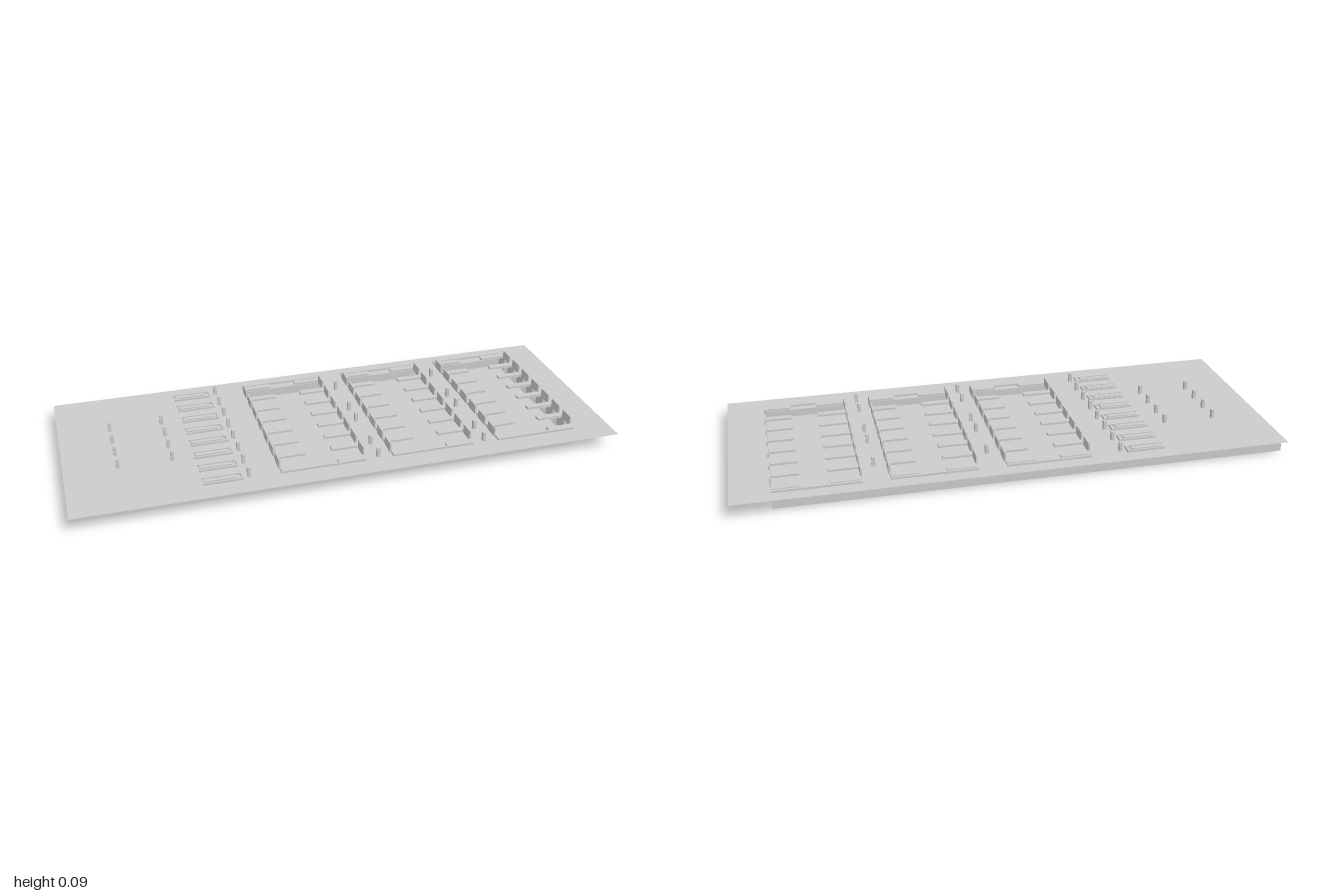
import * as THREE from 'three';

const PLATE_Y = 0.06, TOP_Y = 0.095, LIP = 0.008;
const lane = i => -0.328 + 0.09 * i;      // eight rib lanes
const gap = j => lane(j) + 0.045;         // seven openings between them
const bays = [[-0.265, 0.045], [0.147, 0.455], [0.553, 0.86]];

export function createModel() {
  const root = new THREE.Group();
  const mat = new THREE.MeshStandardMaterial({ color: 0xcccccc, side: THREE.DoubleSide, flatShading: true });

  const add = (name, geo, parent = root) => {
    const m = new THREE.Mesh(geo, mat);
    m.name = name;
    parent.add(m);
    return m;
  };
  const group = name => {
    const g = new THREE.Group();
    g.name = name;
    root.add(g);
    return g;
  };
  // box from its limits
  const box = (name, x0, x1, y0, y1, z0, z1, parent) =>
    add(name, new THREE.BoxGeometry(x1 - x0, y1 - y0, z1 - z0), parent)
      .position.set((x0 + x1) / 2, (y0 + y1) / 2, (z0 + z1) / 2);
  // single thin sheets: horizontal, facing x, facing z
  const flat = (name, x0, x1, y, z0, z1, parent) =>
    add(name, new THREE.PlaneGeometry(x1 - x0, z1 - z0).rotateX(-Math.PI / 2), parent)
      .position.set((x0 + x1) / 2, y, (z0 + z1) / 2);
  const faceX = (name, x, y0, y1, z0, z1, parent) =>
    add(name, new THREE.PlaneGeometry(z1 - z0, y1 - y0).rotateY(Math.PI / 2), parent)
      .position.set(x, (y0 + y1) / 2, (z0 + z1) / 2);
  const faceZ = (name, x0, x1, y0, y1, z, parent) =>
    add(name, new THREE.PlaneGeometry(x1 - x0, y1 - y0), parent)
      .position.set((x0 + x1) / 2, (y0 + y1) / 2, z);
  const rect = (path, x0, x1, z0, z1) => path.moveTo(x0, -z0).lineTo(x1, -z0)
    .lineTo(x1, -z1).lineTo(x0, -z1).closePath();

  // top plate with openings in each bay
  const shape = rect(new THREE.Shape(), -1, 1, -0.405, 0.4);
  for (const [x0, x1] of bays)
    for (let j = 0; j < 7; j++)
      shape.holes.push(rect(new THREE.Path(), x0, x1, gap(j) - 0.03, gap(j) + 0.03));
  add('topPlate', new THREE.ShapeGeometry(shape).rotateX(-Math.PI / 2)).position.y = PLATE_Y;

  // bays: upright tabs at both ends, raised rib ends, long side lips
  for (const [x0, x1] of bays) {
    const bay = group('slottedBay');
    for (let j = 0; j < 7; j++)
      for (const x of [x0, x1])
        box('uprightTab', x - 0.003, x + 0.003, PLATE_Y, TOP_Y, gap(j) - 0.03, gap(j) + 0.03, bay);
    for (let i = 0; i < 8; i++) {
      const z = lane(i);
      box('ribEnd', x0, x0 + 0.11, PLATE_Y, PLATE_Y + LIP, z - 0.012, z + 0.012, bay);
      box('ribEnd', x1 - 0.1, x1, PLATE_Y, PLATE_Y + LIP, z - 0.012, z + 0.012, bay);
    }
    for (const z of [lane(0) - 0.022, lane(7) + 0.014])
      box('sideLip', x0, x1, PLATE_Y, PLATE_Y + LIP, z - 0.004, z + 0.004, bay);
  }

  // small raised loops beside the first bay
  const loops = group('raisedLoops');
  for (let i = 0; i < 8; i++) {
    const z = lane(i);
    for (const s of [-1, 1])
      box('loopSide', -0.54, -0.4, PLATE_Y, PLATE_Y + LIP, z + s * 0.018 - 0.003, z + s * 0.018 + 0.003, loops);
    box('loopEnd', -0.406, -0.4, PLATE_Y, PLATE_Y + LIP, z - 0.018, z + 0.018, loops);
    box('loopTongue', -0.535, -0.42, PLATE_Y, PLATE_Y + LIP, z - 0.008, z + 0.008, loops);
  }

  // small upright posts
  const posts = group('posts');
  const postRows = [
    [-0.81, [2, 3, 4, 5]], [-0.617, [2, 3, 4, 5]],
    [-0.378, [0, 1, 2, 3, 4, 5, 6, 7]],
    [0.095, [1, 3, 4, 6, 7]], [0.502, [1, 3, 4, 6, 7]],
  ];
  for (const [x, lanes] of postRows)
    for (const i of lanes)
      box('post', x - 0.006, x + 0.006, PLATE_Y, TOP_Y, lane(i) - 0.007, lane(i) + 0.007, posts);

  // shallow tray below: side walls, floor, floor fingers and end tabs
  const tray = group('underTray');
  faceZ('sideWall', -1, 0.86, 0, PLATE_Y, 0.329, tray);
  faceZ('sideWall', -1, 0.86, 0, PLATE_Y, -0.355, tray);
  flat('floor', -0.56, 0.86, 0, -0.355, 0.329, tray);
  for (let j = 0; j < 7; j++)
    flat('floorFinger', -1, -0.56, 0, gap(j) - 0.027, gap(j) + 0.027, tray);
  for (let i = 0; i < 8; i++)
    faceX('endTab', 0.86, 0.012, PLATE_Y, lane(i) - 0.027, lane(i) + 0.027, tray);

  return root;
}
